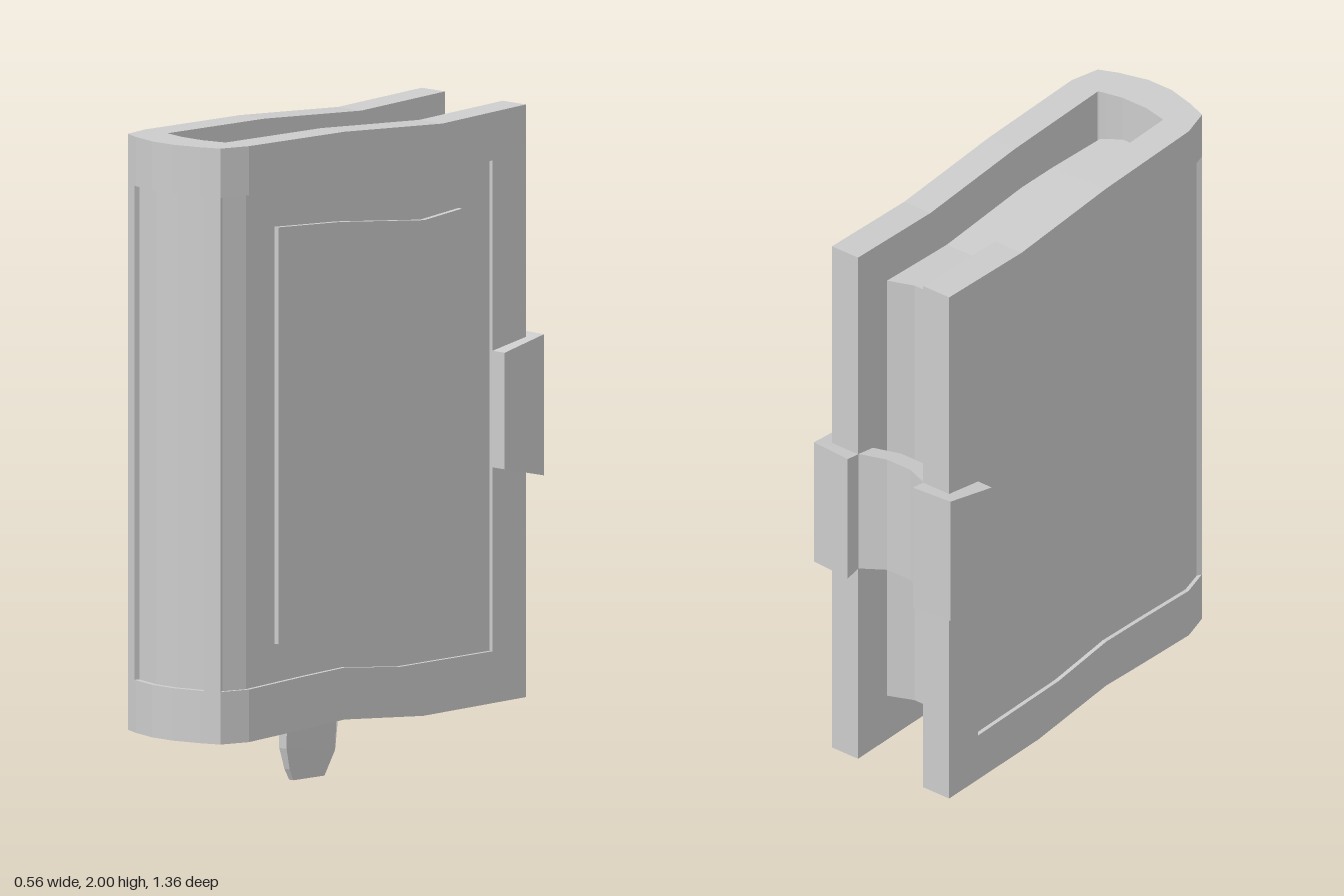
import * as THREE from 'three';

const material = new THREE.MeshStandardMaterial({ color: 0xcccccc, flatShading: true });

// Piecewise linear height along z, from [z, y] knots in rising z
function wave(...knots) {
  return (z) => {
    if (z <= knots[0][0]) return knots[0][1];
    for (let i = 1; i < knots.length; i++) {
      const [z0, y0] = knots[i - 1], [z1, y1] = knots[i];
      if (z <= z1) return y0 + ((y1 - y0) * (z - z0)) / (z1 - z0);
    }
    return knots[knots.length - 1][1];
  };
}

// Solid wall along a plan path. Each station is [ax, az, bx, bz], with a on the
// right-hand side of the path; lo(z) and hi(z) give the heights.
function wall(name, stations, lo, hi) {
  const pos = [];
  const quad = (a, b, c, d) => pos.push(...a, ...b, ...c, ...a, ...c, ...d);
  const rings = stations.map(([ax, az, bx, bz]) => ({
    al: [ax, lo(az), az], ah: [ax, hi(az), az],
    bl: [bx, lo(bz), bz], bh: [bx, hi(bz), bz],
  }));
  for (let i = 0; i < rings.length - 1; i++) {
    const p = rings[i], q = rings[i + 1];
    quad(p.ah, q.ah, q.bh, p.bh);
    quad(p.bl, q.bl, q.al, p.al);
    quad(p.al, q.al, q.ah, p.ah);
    quad(q.bl, p.bl, p.bh, q.bh);
  }
  const s = rings[0], e = rings[rings.length - 1];
  quad(s.bl, s.al, s.ah, s.bh);
  quad(e.al, e.bl, e.bh, e.ah);
  const geometry = new THREE.BufferGeometry();
  geometry.setAttribute('position', new THREE.Float32BufferAttribute(pos, 3));
  geometry.computeVertexNormals();
  const mesh = new THREE.Mesh(geometry, material);
  mesh.name = name;
  return mesh;
}

const mirrored = (list) => list.map(([a, b, c, d]) => [-a, b, -c, d]).reverse();
const bothSides = (half) => [...half, ...mirrored(half)];

export function createModel() {
  const book = new THREE.Group();
  book.name = 'book';

  // Wavy edges of the cover and of its recessed field
  const coverTop = wave([-0.63, 2], [-0.28, 1.98], [0.13, 2]);
  const coverBottom = wave([-0.63, 0.195], [-0.2, 0.185], [0.13, 0.21], [0.5, 0.185]);
  const fieldTop = wave([-0.49, 1.845], [-0.2, 1.825], [0.13, 1.843], [0.3, 1.85]);
  const fieldBottom = wave([-0.49, 0.35], [-0.1, 0.345], [0.15, 0.37], [0.5, 0.345]);

  // Cover bands: full thickness above and below the recessed field
  const arm = [-0.63, -0.49, -0.28, -0.2, -0.1, 0.13, 0.3, 0.53];
  const band = bothSides([
    ...arm.map((z) => [-0.225, z, -0.125, z]),
    [-0.2, 0.625, -0.12, 0.533],
    [-0.14, 0.65, -0.1, 0.538],
    [-0.045, 0.675, -0.045, 0.55],
  ]);
  book.add(wall('coverTopBand', band, fieldTop, coverTop));
  book.add(wall('coverBottomBand', band, coverBottom, fieldBottom));

  // Middle of the cover: rear border, recessed sides, corner posts, recessed spine
  const middle = bothSides([
    [-0.225, -0.63, -0.125, -0.63],
    [-0.225, -0.49, -0.125, -0.49],
    ...arm.slice(1).map((z) => [-0.212, z, -0.125, z]),
    [-0.192, 0.61, -0.122, 0.532],
    [-0.2, 0.625, -0.12, 0.533],
    [-0.15, 0.646, -0.1, 0.538],
    [-0.146, 0.63, -0.098, 0.539],
    [-0.045, 0.657, -0.045, 0.55],
  ]);
  book.add(wall('coverMiddle', middle, fieldBottom, fieldTop));

  // Raised panel on the left cover
  book.add(wall('raisedPanel',
    [0.41, 0.15, -0.1, -0.2, -0.36].map((z) => [0.229, z, 0.2, z]),
    wave([-0.36, 0.48], [-0.1, 0.47], [0.15, 0.5], [0.41, 0.47]),
    wave([-0.36, 1.713], [-0.2, 1.695], [0.15, 1.728], [0.41, 1.74])));

  // Pages: three lanes with a hollow rear edge, narrowing towards the spine
  const pages = new THREE.Group();
  pages.name = 'pages';
  const inside = [-0.2, -0.1, 0.15, 0.3];
  const side = [
    [-0.126, -0.49, -0.045, -0.457],
    ...inside.map((z) => [z > 0.2 ? -0.115 : -0.126, z, -0.045, z]),
    [-0.1, 0.51, -0.045, 0.55],
  ];
  const centre = [-0.457, ...inside, 0.55].map((z) => [-0.045, z, 0.045, z]);
  pages.add(wall('pagesRight', side, fieldBottom, fieldTop));
  pages.add(wall('pagesCentre', centre, fieldBottom, fieldTop));
  pages.add(wall('pagesLeft', mirrored(side), fieldBottom, fieldTop));
  book.add(pages);

  // Clasp: a flared bracket on each cover, joined by a strap that bows inwards
  const claspBottom = wave([-0.67, 0.87], [-0.49, 0.91]);
  const claspTop = wave([-0.67, 1.3], [-0.49, 1.265]);
  const bracket = [
    [0.278, -0.49, 0.205, -0.49],
    [0.262, -0.67, 0.205, -0.625],
    [0.125, -0.68, 0.125, -0.625],
  ];
  book.add(wall('claspLeft', bracket, claspBottom, claspTop));
  book.add(wall('claspRight', mirrored(bracket), claspBottom, claspTop));
  book.add(wall('claspStrap', [
    [-0.13, -0.56, -0.13, -0.63],
    [-0.045, -0.522, -0.045, -0.59],
    [0.045, -0.522, 0.045, -0.59],
    [0.13, -0.56, 0.13, -0.63],
  ], claspBottom, claspTop));

  // Ribbon bookmark: stacked cross-sections thinning towards the tip
  const tag = new THREE.Shape([
    [0.13, 0.005], [0, 0.005], [-0.04, 0.075], [-0.05, 0.2], [-0.05, 0.38],
    [0.165, 0.38], [0.165, 0.1], [0.148, 0.035],
  ].map(([z, y]) => new THREE.Vector2(-z, y)));
  const ribbon = new THREE.ExtrudeGeometry(tag, { depth: 1, bevelEnabled: false });
  ribbon.translate(0, 0, -0.5).rotateY(Math.PI / 2);
  const p = ribbon.attributes.position;
  for (let i = 0; i < p.count; i++) {
    const y = p.getY(i);
    p.setX(i, p.getX(i) * Math.min(0.04, 0.018 + y * 0.14));
    if (y < 0.01) p.setY(i, 0);
  }
  ribbon.computeVertexNormals();
  const bookmark = new THREE.Mesh(ribbon, material);
  bookmark.name = 'bookmark';
  bookmark.position.x = -0.005;
  book.add(bookmark);

  return book;
}
